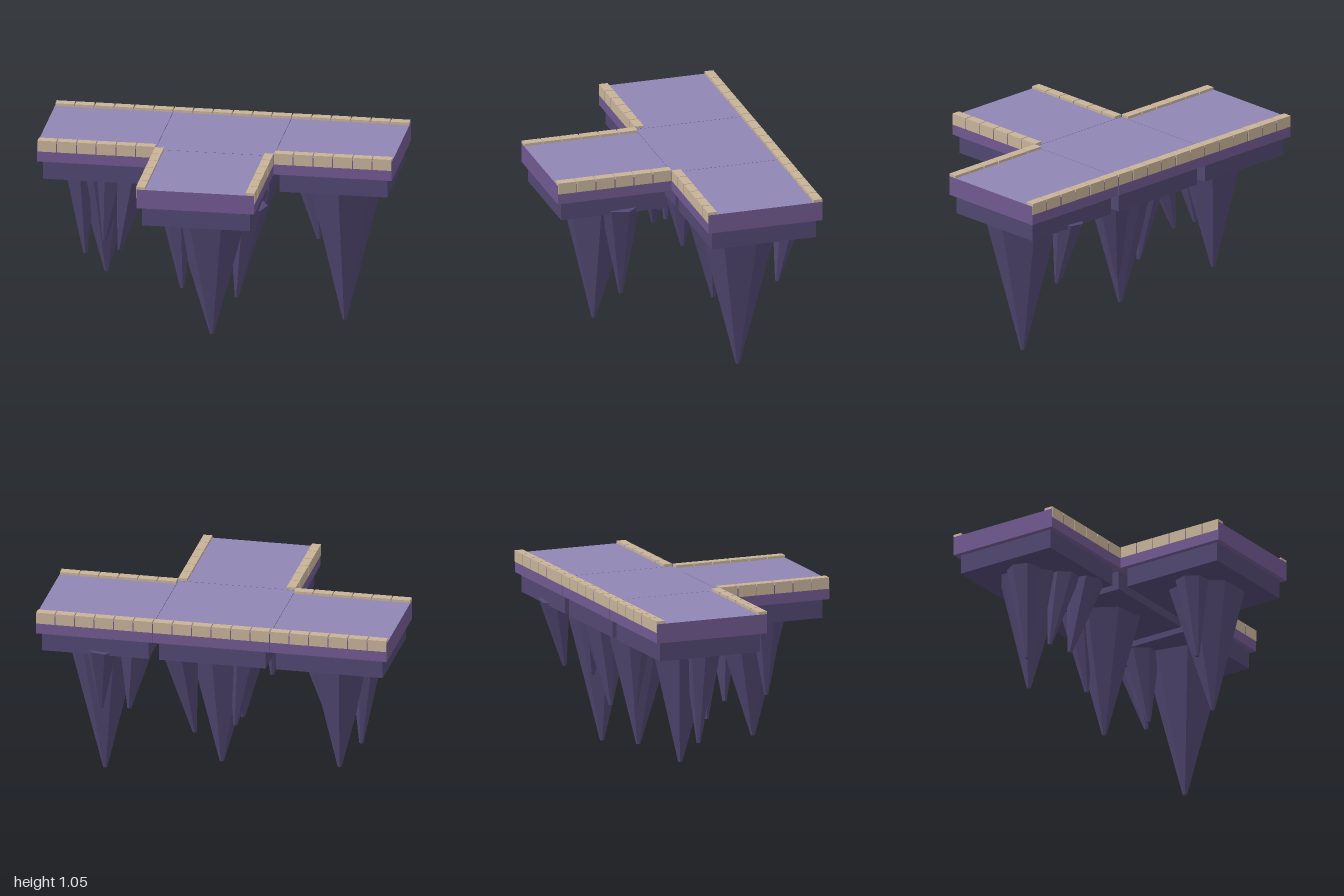
import * as THREE from 'three';

const mat = (name, color, flatShading = false) => {
  const m = new THREE.MeshStandardMaterial({ color, flatShading });
  m.name = name;
  return m;
};

export function createModel() {
  const group = new THREE.Group();
  group.name = 'floatingPath';
  const floor = mat('lavenderFloor', 0x8f85b3);
  const side = mat('purpleSlab', 0x70598f);
  const rock = mat('darkRock', 0x514771, true);
  const stone = mat('sandStone', 0xc6b298);
  const T = 2 / 3;

  function box(name, parent, w, h, d, x, y, z, material) {
    const m = new THREE.Mesh(new THREE.BoxGeometry(w, h, d), material);
    m.position.set(x, y, z);
    m.name = name;
    parent.add(m);
  }

  // Paving tiles with a recessed foundation below each
  const slabMaterials = [side, side, floor, side, side, side];
  for (const [name, x, z] of [
    ['rightTile', -T, -T / 2], ['middleTile', 0, -T / 2],
    ['leftTile', T, -T / 2], ['frontTile', 0, T / 2],
  ]) {
    const tile = new THREE.Group();
    tile.name = name;
    box('slab', tile, T - 0.002, 0.11, T - 0.002, x, 0.985, z, slabMaterials);
    box('foundation', tile, 0.607, 0.11, 0.607, x, 0.875, z, rock);
    group.add(tile);
  }

  // Kerb bricks along the open edges, six per tile
  const kerbs = new THREE.Group();
  kerbs.name = 'kerbs';
  const L = T / 6, h = 0.065, w = 0.051, y = 1.0225, inset = 0.0245;
  for (let i = 0; i < 18; i++) {
    const x = -1 + (i + 0.5) * L;
    box('backKerbBrick', kerbs, L - 0.006, h, w, x, y, -T + inset, stone);
    if (i < 6 || i > 11) box('frontKerbBrick', kerbs, L - 0.006, h, w, x, y, -inset, stone);
  }
  for (let i = 0; i < 6; i++)
    for (const s of [-1, 1])
      box('sideKerbBrick', kerbs, w, h, L - 0.006, s * (T / 2 - inset), y, (i + 0.5) * L, stone);
  group.add(kerbs);

  // Hanging rock spikes: top centre x, z; radius; tip x, y, z
  const spikes = [
    [0.69, -0.27, 0.225, 0.69, 0.0, -0.27],
    [0.475, -0.42, 0.11, 0.525, 0.42, -0.40],
    [0.64, -0.58, 0.09, 0.66, 0.455, -0.51],
    [0.0, -0.33, 0.21, 0.01, 0.125, -0.345],
    [0.215, -0.50, 0.11, 0.14, 0.33, -0.455],
    [-0.14, -0.42, 0.1, -0.08, 0.37, -0.40],
    [-0.67, -0.37, 0.19, -0.67, 0.165, -0.385],
    [-0.81, -0.32, 0.1, -0.78, 0.29, -0.32],
    [-0.6, -0.2, 0.1, -0.66, 0.4, -0.25],
    [-0.47, -0.14, 0.11, -0.565, 0.37, -0.18],
    [0.035, 0.33, 0.225, 0.045, 0.105, 0.365],
    [0.23, 0.27, 0.115, 0.165, 0.285, 0.245],
    [-0.15, 0.36, 0.1, -0.12, 0.37, 0.375],
  ];
  const up = new THREE.Vector3(0, 1, 0);
  spikes.forEach(([tx, tz, r, x, y0, z], i) => {
    const top = new THREE.Vector3(tx, 0.85, tz);
    const tip = new THREE.Vector3(x, y0, z);
    const axis = top.clone().sub(tip);
    const spike = new THREE.Mesh(
      new THREE.CylinderGeometry(r, 0.012, axis.length(), 7, 1, false, i * 1.3), rock);
    spike.name = 'rockSpike';
    spike.position.copy(top).add(tip).multiplyScalar(0.5);
    spike.quaternion.setFromUnitVectors(up, axis.normalize());
    group.add(spike);
  });

  return group;
}
